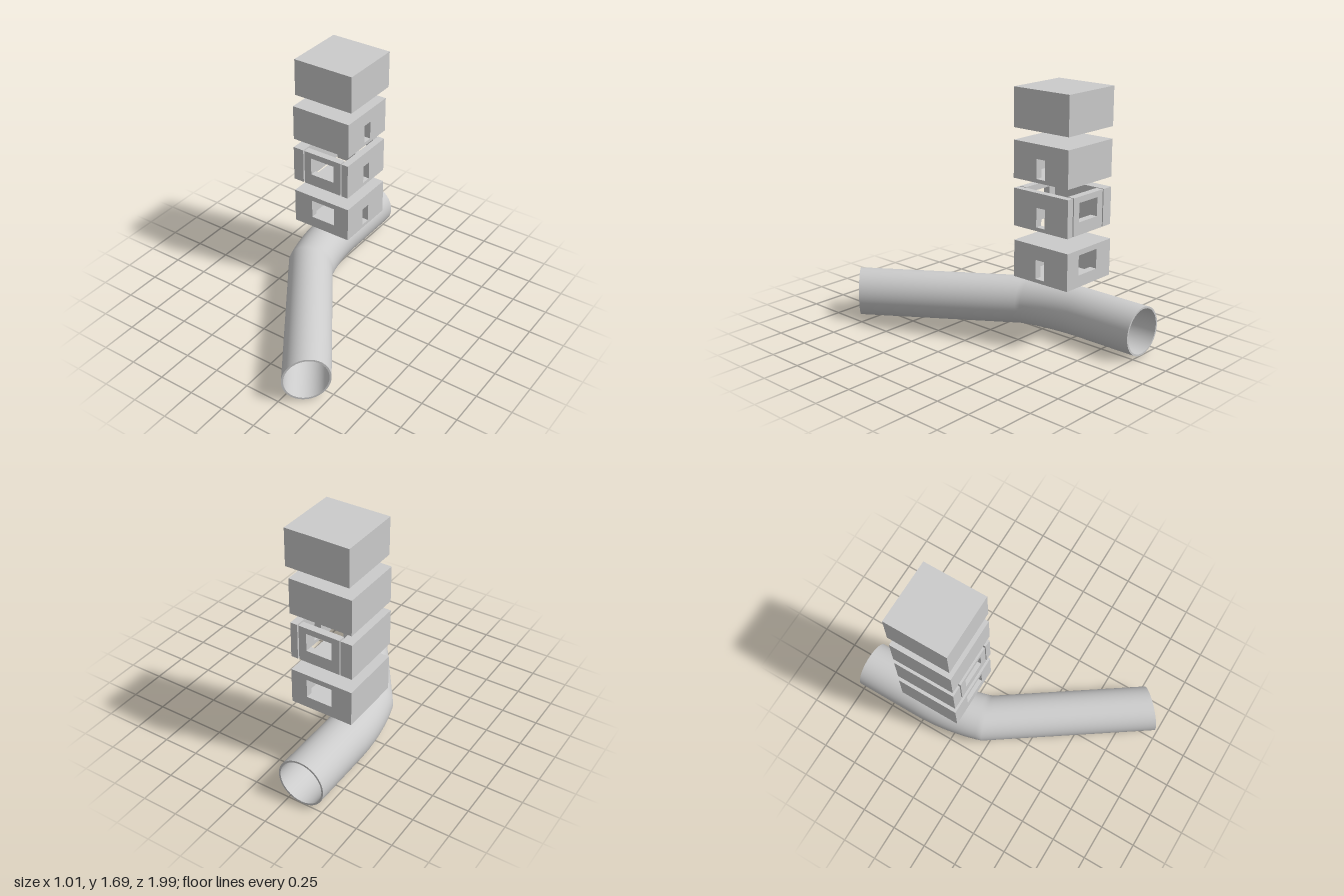
import * as THREE from 'three';
import { mergeGeometries } from 'three/addons/utils/BufferGeometryUtils.js';

const material = new THREE.MeshStandardMaterial({ color: 0xcccccc });

function add(parent, name, geometry) {
  const mesh = new THREE.Mesh(geometry, material);
  mesh.name = name;
  parent.add(mesh);
  return mesh;
}

// Axis-aligned block given by its limits
function block(parent, name, [x0, x1], [y0, y1], [z0, z1]) {
  const mesh = add(parent, name, new THREE.BoxGeometry(x1 - x0, y1 - y0, z1 - z0));
  mesh.position.set((x0 + x1) / 2, (y0 + y1) / 2, (z0 + z1) / 2);
}

// Rectangular panel with an optional rectangular opening, extruded along +z
function panelGeometry([u0, u1], [v0, v1], depth, hole) {
  const rect = (Type, a, b, c, d) => {
    const path = new Type();
    path.moveTo(a, c).lineTo(b, c).lineTo(b, d).lineTo(a, d).closePath();
    return path;
  };
  const shape = rect(THREE.Shape, u0, u1, v0, v1);
  if (hole) shape.holes.push(rect(THREE.Path, ...hole));
  return new THREE.ExtrudeGeometry(shape, { depth, bevelEnabled: false });
}

// One hollow storey: side walls, front and back walls, optional floor and ceiling
function storey(parent, name, { x, y, z, window, door, gap = 0, closed = true }) {
  const group = new THREE.Group();
  group.name = name;
  parent.add(group);
  const right = x[0] + 0.08, left = x[1] - 0.05, thick = 0.05;

  block(group, 'rightWall', [x[0], right], y, z);
  const leftWall = add(group, 'leftWallWithDoor',
    panelGeometry([-z[1], -z[0]], y, thick, [0.37, 0.44, ...door]));
  leftWall.rotation.y = Math.PI / 2;
  leftWall.position.x = left;

  const span = [right + gap, left - gap];
  const hole = window && [-0.33, -0.145, ...window];
  add(group, 'frontWall', panelGeometry(span, y, thick, hole)).position.z = z[1] - thick;
  add(group, 'backWall', panelGeometry(span, y, thick, hole)).position.z = z[0];

  if (closed) {
    const inner = [z[0] + thick, z[1] - thick];
    block(group, 'floor', [right, left], [y[0], y[0] + 0.025], inner);
    block(group, 'ceiling', [right, left], [y[1] - 0.03, y[1]], inner);
  }
}

// Smooth surface through rings { x, z, angle, r } that stand upright on a path
function sheet(rings, sides = 64) {
  const points = [], index = [];
  rings.forEach(({ x, z, angle, r, h }, i) => {
    for (let j = 0; j < sides; j++) {
      const t = (j / sides) * Math.PI * 2, u = r * Math.cos(t);
      points.push(x + u * Math.cos(angle), 0.165 + h * Math.sin(t), z - u * Math.sin(angle));
      if (i === 0) continue;
      const k = (j + 1) % sides, a = (i - 1) * sides, b = i * sides;
      index.push(a + j, a + k, b + j, a + k, b + k, b + j);
    }
  });
  const geometry = new THREE.BufferGeometry();
  geometry.setAttribute('position', new THREE.Float32BufferAttribute(points, 3));
  geometry.setIndex(index);
  geometry.computeVertexNormals();
  return geometry;
}

// Bent pipe: straight run, gentle curve, then a second straight run with a skewed end
function pipeGeometry() {
  const path = [{ x: -0.345, z: -1, angle: 0, r: 0.165 }];
  const bend = new THREE.QuadraticBezierCurve(
    new THREE.Vector2(-0.345, -0.55), new THREE.Vector2(-0.345, -0.3), new THREE.Vector2(-0.27, -0.075));
  for (let i = 0; i <= 12; i++) {
    const p = bend.getPoint(i / 12);
    path.push({ x: p.x, z: p.y, angle: 0.274 * i / 12, r: 0.165 });
  }
  path.push({ x: 0.385, z: 0.88, angle: 0.763, r: 0.159 });

  const wall = 0.013;
  const outer = path.map(p => ({ ...p, h: 0.165 }));
  const inner = path.map(p => ({ ...p, r: p.r - wall, h: 0.165 - wall }));
  return mergeGeometries([
    sheet(outer),
    sheet([...inner].reverse()),
    sheet([inner[0], outer[0]]),
    sheet([outer.at(-1), inner.at(-1)]),
  ]);
}

export function createModel() {
  const model = new THREE.Group();
  model.name = 'stackedRoomsOverPipe';

  add(model, 'bentPipe', pipeGeometry());

  // Storeys from bottom to top
  storey(model, 'lowerRoom', {
    x: [-0.475, -0.03], y: [0.425, 0.677], z: [-0.63, -0.185],
    window: [0.505, 0.64], door: [0.45, 0.58],
  });
  storey(model, 'splitRoom', {
    x: [-0.475, -0.03], y: [0.775, 1.028], z: [-0.625, -0.18],
    window: [0.86, 0.987], door: [0.8, 0.93], gap: 0.01, closed: false,
  });
  storey(model, 'upperRoom', {
    x: [-0.472, -0.026], y: [1.095, 1.345], z: [-0.625, -0.18],
    door: [1.12, 1.25],
  });
  block(model, 'topBlock', [-0.46, -0.012], [1.43, 1.69], [-0.635, -0.19]);

  return model;
}
